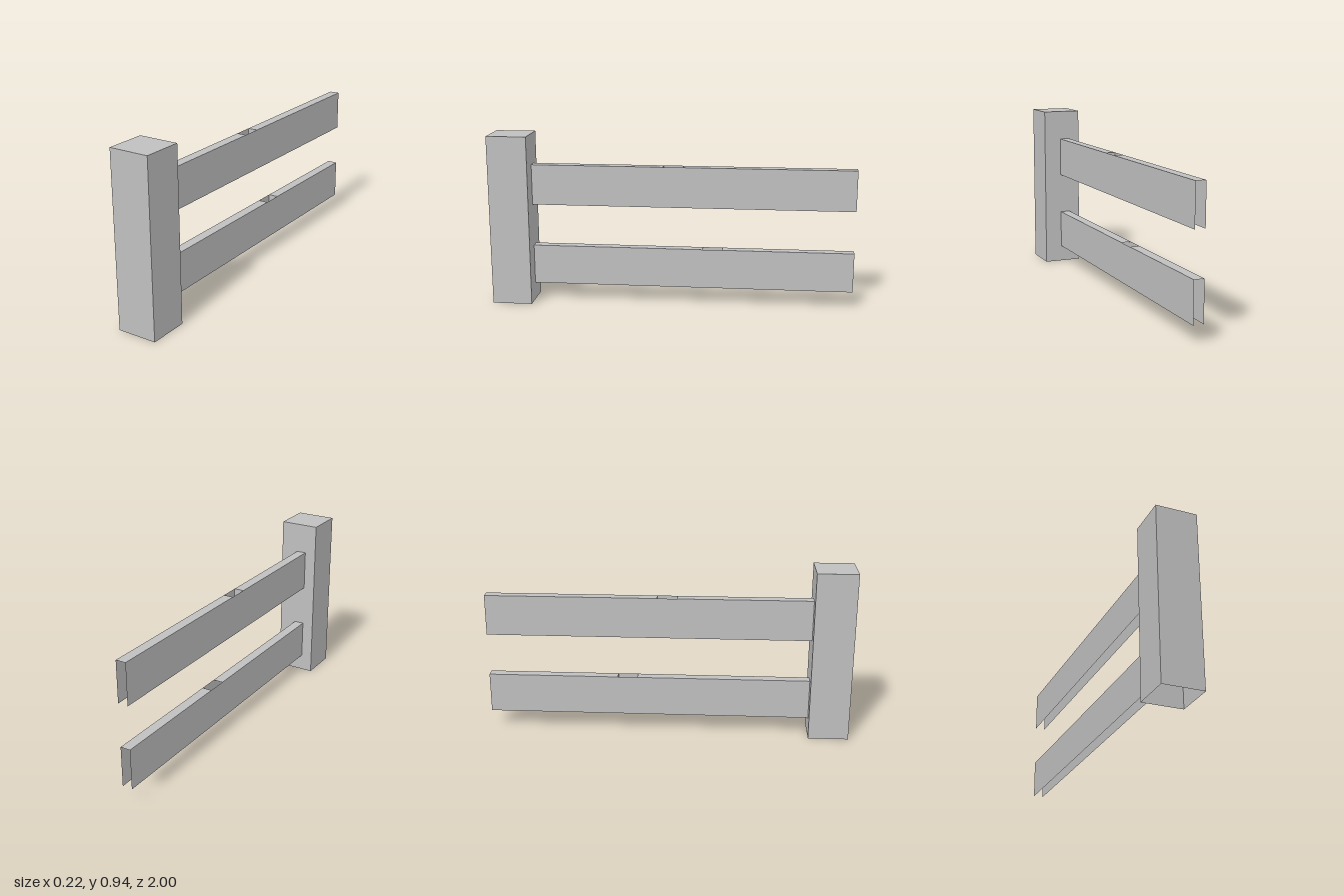
import * as THREE from 'three';

const grey = new THREE.MeshStandardMaterial({ color: 0xc0c0c0, side: THREE.DoubleSide });
grey.name = 'grey';

const POST = { width: 0.22, height: 0.945, z: 0.89 };
const RAIL = { left: 0.01, right: -0.045, back: -1, front: 0.78 };
const railWidth = RAIL.left - RAIL.right;
const railX = (RAIL.left + RAIL.right) / 2;

// Thin rectangular sheet, placed by its centre and turned about x and y
function sheet(name, w, h, x, y, z, rx = 0, ry = 0) {
  const mesh = new THREE.Mesh(new THREE.PlaneGeometry(w, h), grey);
  mesh.name = name;
  mesh.position.set(x, y, z);
  mesh.rotation.set(rx, ry, 0);
  return mesh;
}

// Hollow post, open underneath
function makePost() {
  const { width: w, height: h, z } = POST;
  const post = new THREE.Group();
  post.name = 'post';
  for (let i = 0; i < 4; i++) {
    const a = (i * Math.PI) / 2;
    post.add(sheet('postSide', w, h, (Math.sin(a) * w) / 2, h / 2, z + (Math.cos(a) * w) / 2, 0, a));
  }
  post.add(sheet('postTop', w, w, 0, h, z, -Math.PI / 2));
  return post;
}

// Hollow rail, open underneath and at the back, with a slot in its top
function makeRail(name, bottom, top, slotBack, slotFront, walls) {
  const rail = new THREE.Group();
  rail.name = name;
  const length = RAIL.front - RAIL.back;
  const midZ = (RAIL.front + RAIL.back) / 2;
  for (const [x, turn] of [[RAIL.left, 1], [RAIL.right, -1]]) {
    rail.add(sheet('railSide', length, top - bottom, x, (top + bottom) / 2, midZ, 0, (turn * Math.PI) / 2));
  }
  for (const [z0, z1] of [[RAIL.back, slotBack], [slotFront, RAIL.front]]) {
    rail.add(sheet('railTop', railWidth, z1 - z0, railX, top, (z0 + z1) / 2, -Math.PI / 2));
  }
  // Short walls that close the ends of the slot
  const depth = 0.1;
  for (const z of walls) {
    rail.add(sheet('slotWall', railWidth, depth, railX, top - depth / 2, z));
  }
  return rail;
}

export function createModel() {
  const model = new THREE.Group();
  model.name = 'fenceSection';
  model.add(
    makePost(),
    makeRail('upperRail', 0.55, 0.775, -0.06, 0.05, [-0.06, 0.05]),
    makeRail('lowerRail', 0.095, 0.315, -0.28, -0.17, [-0.28])
  );
  return model;
}
